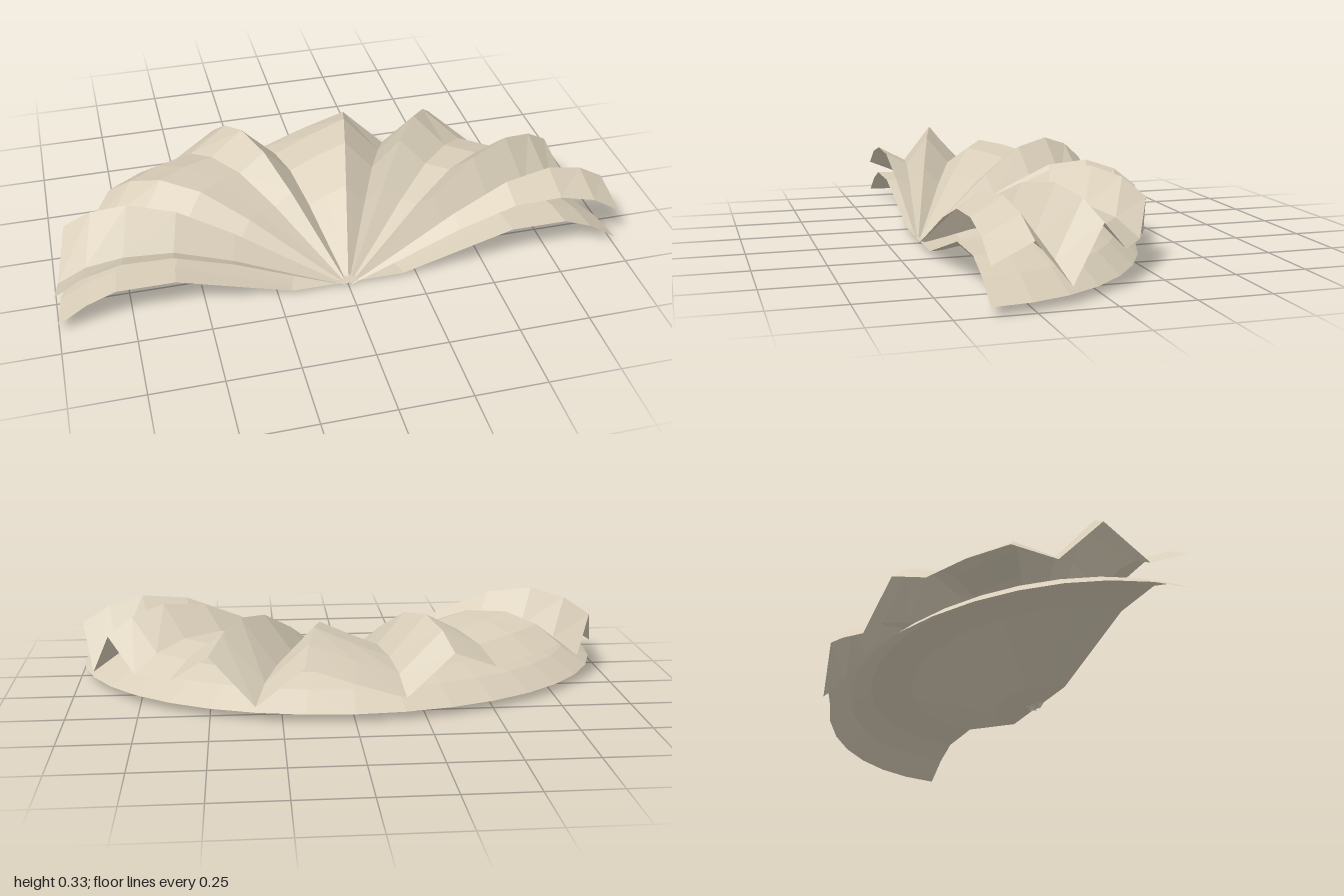
import * as THREE from 'three';

const STEPS = 18; // ten degrees per sector
const FRONT_Z = 0.39;

// Half-elliptic sheet: rings of radius r, height given by heightAt(ringIndex, step)
function halfSheet(radii, depth, heightAt) {
  const pos = [], index = [], row = STEPS + 1;
  radii.forEach((r, i) => {
    for (let k = 0; k <= STEPS; k++) {
      const a = (k / STEPS) * Math.PI;
      pos.push(r * Math.cos(a), heightAt(i, k), FRONT_Z - r * depth * Math.sin(a));
    }
  });
  for (let i = 0; i < radii.length - 1; i++) {
    for (let k = 0; k < STEPS; k++) {
      const a = i * row + k, b = a + row;
      index.push(a, b, b + 1, a, b + 1, a + 1);
    }
  }
  const geo = new THREE.BufferGeometry();
  geo.setAttribute('position', new THREE.Float32BufferAttribute(pos, 3));
  geo.setIndex(index);
  const flat = geo.toNonIndexed();
  flat.computeVertexNormals();
  return flat;
}

export function createModel() {
  const group = new THREE.Group();
  const shell = new THREE.MeshStandardMaterial({ color: 0xd8cdb8, side: THREE.DoubleSide, flatShading: true });
  shell.name = 'warm ivory';

  // Pleated upper sheet: irregular rim heights, left (+x) end to right end
  const rim = [0.15, 0.21, 0.055, 0.225, 0.115, 0.115, 0.225, 0.06, 0.205, 0.147,
    0.09, 0.235, 0.165, 0.18, 0.19, 0.11, 0.235, 0.095, 0.15];
  const pleatRadii = [0.012, 0.2, 0.4, 0.6, 0.77, 0.9, 1];
  const arch = [0, 0.045, 0.095, 0.123, 0.095, 0.062, 0];
  const upper = new THREE.Mesh(
    halfSheet(pleatRadii, 0.78, (i, k) => arch[i] + Math.min(1, pleatRadii[i] / 0.77) * rim[k]),
    shell);
  upper.name = 'pleatedUpperSheet';

  // Smooth lower bowl with a turned-down rim
  const bowlRadii = [0, 0.2, 0.4, 0.6, 0.8, 0.9, 1];
  const bowlHeights = [0.015, 0.015, 0.075, 0.135, 0.135, 0.095, 0.03];
  const lower = new THREE.Mesh(halfSheet(bowlRadii, 0.75, (i) => bowlHeights[i]), shell);
  lower.name = 'lowerBowl';

  group.add(upper, lower);
  return group;
}
